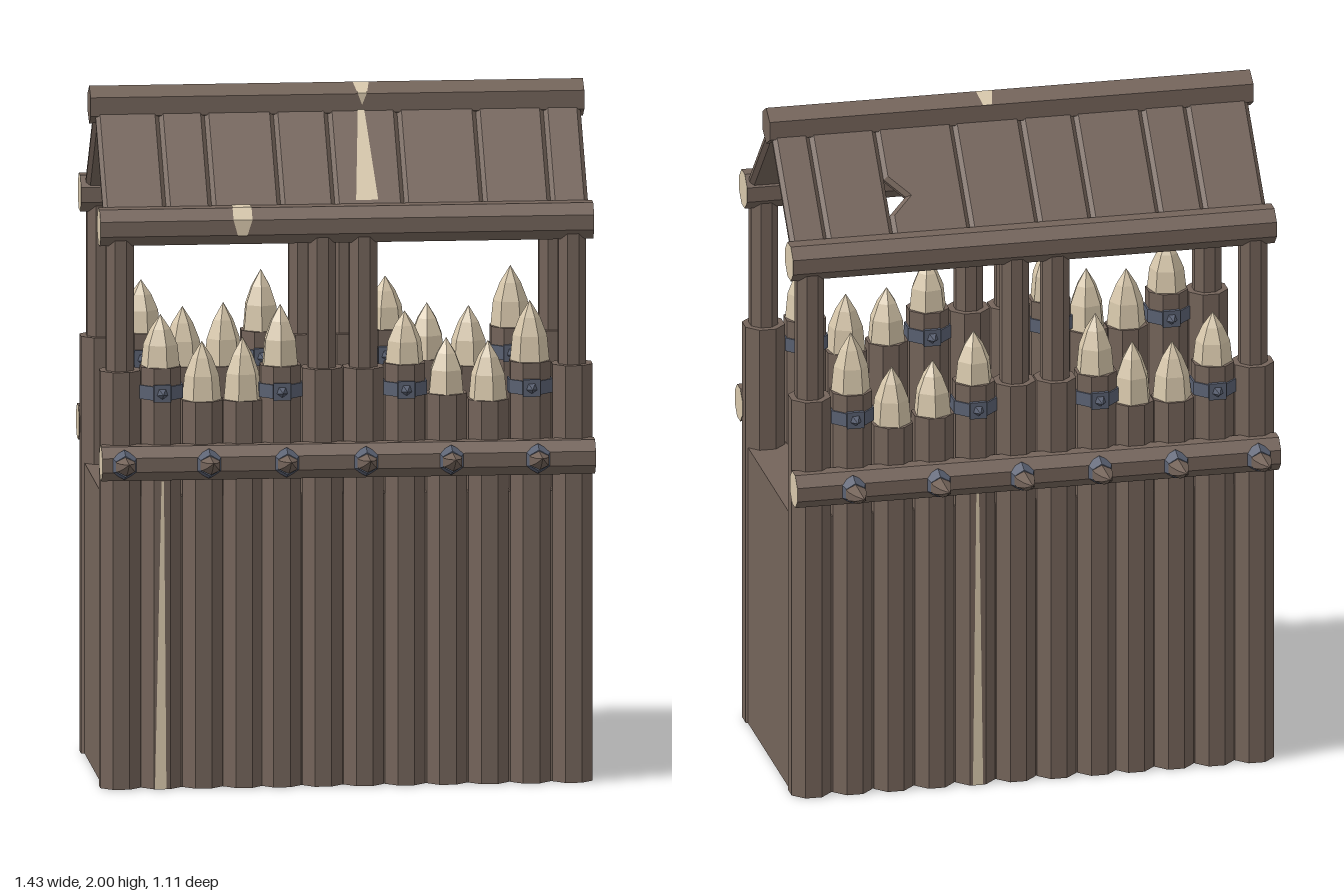
import * as THREE from 'three';

const mat = (name, color) => {
  const m = new THREE.MeshStandardMaterial({ color, flatShading: true });
  m.name = name;
  return m;
};

export function createModel() {
  const wood = mat('brown bark', 0x74645a);
  const cream = mat('cut wood', 0xd8c8ac);
  const iron = mat('iron', 0x5a6172);
  const creamThin = mat('split wood', 0xd8c8ac);
  creamThin.side = THREE.DoubleSide;
  const model = new THREE.Group();

  const add = (name, geo, material, x, y, z, parent = model) => {
    const m = new THREE.Mesh(geo, material);
    m.name = name;
    m.position.set(x, y, z);
    parent.add(m);
    return m;
  };

  // upright prism with flat faces to the front; r is the distance to a face
  const prism = (r, h, sides = 8) =>
    new THREE.CylinderGeometry(r / Math.cos(Math.PI / sides), r / Math.cos(Math.PI / sides), h, sides, 1, false, Math.PI / sides);
  const upright = (name, r, y0, y1, x, z, material = wood) =>
    add(name, prism(r, y1 - y0), material, x, (y0 + y1) / 2, z);
  // long pole along x, with chosen end colour
  const pole = (name, geo, y, z, ends) =>
    add(name, geo.rotateZ(Math.PI / 2), [wood, ends, ends], -0.005, y, z);
  const lathe = (pts, sides) => new THREE.LatheGeometry(pts.map(p => new THREE.Vector2(...p)), sides);
  // thin flat patch from corner points
  const patch = (name, pts) => {
    const geo = new THREE.BufferGeometry();
    const v = [];
    for (let i = 1; i < pts.length - 1; i++) v.push(...pts[0], ...pts[i], ...pts[i + 1]);
    geo.setAttribute('position', new THREE.Float32BufferAttribute(v, 3));
    geo.computeVertexNormals();
    return add(name, geo, creamThin, 0, 0, 0);
  };

  // solid body with the walkway on top
  add('walkway', new THREE.BoxGeometry(1.41, 0.85, 0.65), wood, -0.003, 0.425, 0);

  // palisade logs: x, log top, tip (0 means a plain log under a post)
  const logs = [
    [-0.66, 1.22, 0], [-0.542, 1.23, 1.38], [-0.422, 1.13, 1.30], [-0.304, 1.13, 1.31],
    [-0.195, 1.23, 1.405], [-0.075, 1.22, 0], [0.045, 1.22, 0], [0.165, 1.23, 1.38],
    [0.286, 1.14, 1.30], [0.407, 1.12, 1.29], [0.528, 1.23, 1.405], [0.65, 1.22, 0],
  ];
  const thornX = [-0.655, -0.41, -0.185, 0.045, 0.292, 0.543];

  // wall thorn pointing along +z with an upward curve
  const thornGeo = lathe([[0.034, 0], [0.03, 0.06], [0.018, 0.105], [0, 0.155]], 6).rotateX(Math.PI / 2);
  const tp = thornGeo.attributes.position;
  for (let i = 0; i < tp.count; i++) {
    const t = tp.getZ(i) / 0.155;
    tp.setY(i, tp.getY(i) * 0.85 + 0.028 * t * t);
  }
  const collarGeo = new THREE.CylinderGeometry(0.031, 0.044, 0.035, 6).rotateX(Math.PI / 2);
  const studGeo = new THREE.ConeGeometry(0.02, 0.035, 5).rotateX(Math.PI / 2);

  for (const s of [1, -1]) {
    const z = s * 0.303;
    const turn = s > 0 ? 0 : Math.PI;

    logs.forEach(([x, top, tip], i) => {
      upright('log', 0.058, 0, top, x, z);
      if (!tip) {
        upright('roofPost', 0.04, top - 0.01, 1.61, x, z);
        return;
      }
      // sharpened tip
      const h = tip - top;
      const point = add('sharpenedTip',
        lathe([[0, 0], [0.057, 0], [0.05, h * 0.42], [0.03, h * 0.72], [0, h]], 6), cream, x, top, z);
      point.rotation.y = i * 1.3;
      // iron band with studs on the tall logs
      if (top > 1.2) {
        upright('ironBand', 0.063, 1.138, 1.178, x, z, iron);
        for (const f of [1, -1]) {
          const plate = add('bandPlate', new THREE.BoxGeometry(0.05, 0.05, 0.012), iron, x, 1.158, z + f * 0.063);
          const stud = add('bandStud', studGeo, iron, plate.position.x, 1.158, z + f * 0.08);
          stud.rotation.y = f > 0 ? 0 : Math.PI;
        }
      }
    });

    // cross beam with its row of thorns
    pole('wallBeam', prism(0.05, 1.43), 0.957, s * 0.362, cream);
    for (const x of thornX) {
      add('thornCollar', collarGeo, iron, x, 0.957, s * 0.417).rotation.y = turn;
      add('thorn', thornGeo, wood, x, 0.955, s * 0.4).rotation.y = turn;
    }

    // eave pole
    pole('eavePole', prism(0.053, 1.43), 1.638, s * 0.303, cream);

    // roof planks with bevelled edges
    const slope = new THREE.Group();
    slope.name = 'roofSlope';
    slope.rotation.y = turn;
    model.add(slope);
    const tilt = new THREE.Group();
    tilt.name = 'roofPlanks';
    tilt.position.set(0, 1.675, 0.27);
    tilt.rotation.x = -Math.PI / 4;
    slope.add(tilt);
    const seams = [-0.705, -0.522, -0.39, -0.19, -0.033, 0.168, 0.396, 0.592, 0.7];
    for (let i = 0; i < seams.length - 1; i++) {
      const a = seams[i], b = seams[i + 1];
      const pts = [[a, -0.01], [b, -0.01]];
      // broken notch in one back plank
      if (s < 0 && i === 5) pts.push([b, 0.065], [b - 0.055, 0.12], [b, 0.18]);
      pts.push([b, 0.36], [a, 0.36]);
      const shape = new THREE.Shape(pts.map(([x, u]) => new THREE.Vector2(x * s, u)));
      add('roofPlank', new THREE.ExtrudeGeometry(shape, {
        depth: 0.012, bevelEnabled: true, bevelSegments: 1,
        bevelSize: 0.012, bevelThickness: 0.012, bevelOffset: -0.012,
      }), wood, 0, 0, -0.006, tilt);
    }
    // pale split in the front roof
    if (s > 0) {
      const split = new THREE.Shape([[0.028, 0.015], [0.092, 0.015], [0.072, 0.34], [0.054, 0.34]]
        .map(p => new THREE.Vector2(...p)));
      add('roofSplit', new THREE.ShapeGeometry(split), creamThin, 0, 0, 0.0205, tilt);
    }
  }

  // ridge pole, with a corner on top
  pole('ridgePole', new THREE.CylinderGeometry(0.055, 0.055, 1.43, 6).rotateY(Math.PI / 2), 1.945, 0, wood);

  // pale notch across the ridge
  for (const s of [1, -1]) {
    patch('ridgeNotch', [[0.043, 2.0, 0], [0.09, 2.0, 0], [0.08, 1.975, s * 0.05], [0.053, 1.975, s * 0.05]]);
  }
  patch('ridgeNotch', [[0.053, 1.975, 0.05], [0.08, 1.975, 0.05], [0.066, 1.94, 0.05]]);

  // pale notch in the front eave pole
  patch('eaveNotch', [[-0.335, 1.693, 0.282], [-0.28, 1.693, 0.282], [-0.28, 1.693, 0.327], [-0.335, 1.693, 0.327]]);
  patch('eaveNotch', [[-0.335, 1.693, 0.327], [-0.28, 1.693, 0.327], [-0.28, 1.661, 0.359], [-0.335, 1.661, 0.359]]);
  patch('eaveNotch', [[-0.335, 1.661, 0.359], [-0.28, 1.661, 0.359], [-0.295, 1.614, 0.359], [-0.322, 1.614, 0.359]]);

  // long pale splits in one front log and one back log
  patch('logSplit', [[-0.563, 0, 0.363], [-0.53, 0, 0.363], [-0.537, 0.9, 0.363], [-0.544, 0.9, 0.363]]);
  patch('logSplit', [[0.15, 0, -0.363], [0.18, 0, -0.363], [0.17, 0.9, -0.363], [0.162, 0.9, -0.363]]);

  return model;
}
